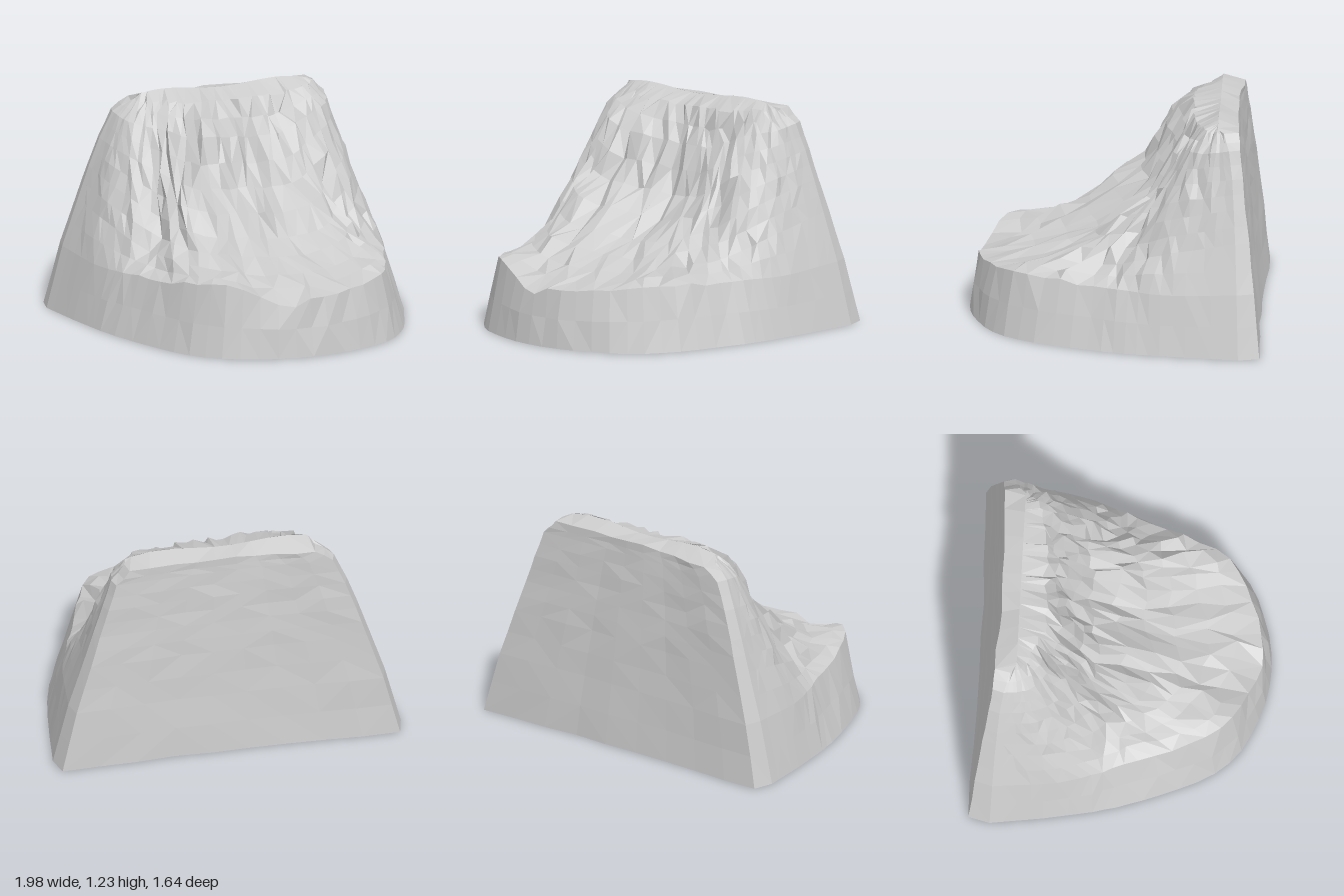
import * as THREE from 'three';

// Seeded hash, -1..1
const hash = (a, b = 0) => {
  const s = Math.sin(a * 127.1 + b * 311.7 + 4.3) * 43758.5453;
  return (s - Math.floor(s)) * 2 - 1;
};

// Soft bump of height 1 around a centre
const bell = (x, centre, width) => Math.exp(-(((x - centre) / width) ** 2));

// Profiles climbing from the ground to the crest, on the left half only:
// back corner, rear side, side, front side, front centre
const PROFILES = [
  [[.99, 0, -.7], [.9, .35, -.69], [.81, .62, -.68], [.75, .8, -.67], [.69, .96, -.66], [.62, 1.11, -.64], [.52, 1.18, -.61]],
  [[.925, 0, -.28], [.84, .33, -.28], [.76, .55, -.34], [.7, .74, -.4], [.64, .92, -.45], [.58, 1.08, -.5], [.48, 1.18, -.54]],
  [[.83, 0, .1], [.72, .34, .07], [.63, .45, -.02], [.54, .62, -.13], [.49, .84, -.26], [.44, 1.05, -.38], [.38, 1.18, -.48]],
  [[.55, 0, .63], [.49, .35, .57], [.42, .41, .35], [.35, .53, .1], [.31, .74, -.17], [.27, .99, -.31], [.23, 1.17, -.44]],
  [[0, 0, .82], [0, .32, .77], [0, .38, .46], [0, .51, .13], [0, .73, -.17], [0, .99, -.31], [0, 1.17, -.43]],
];
const LEVELS = 12;      // two steps per profile point; level 2 is the rim
const FRONT = 46;       // columns around the sides and front
const BACK = 10;        // columns across the flat back

// Point on a straight-sided profile at a given level
function profilePoint(profile, level) {
  const k = Math.min(profile.length - 2, Math.floor(level / 2));
  const a = new THREE.Vector3(...profile[k]), b = new THREE.Vector3(...profile[k + 1]);
  return a.lerp(b, level / 2 - k);
}

// One ring of the rock at a given level
function ring(level) {
  const half = PROFILES.map(p => profilePoint(p, level));
  const mirrored = half.slice(0, -1).reverse().map(v => new THREE.Vector3(-v.x, v.y, v.z));
  const curve = new THREE.CatmullRomCurve3([...half, ...mirrored]);
  const pts = [];
  const slope = level > 2 && level < LEVELS;

  // Sides and front, cut by gullies that run down the slope
  const depth = level === 0 ? .004 : level < 3 ? .012 : slope ? .036 : .03;
  for (let i = 0; i <= FRONT; i++) {
    const u = i / FRONT;
    const inner = i > 0 && i < FRONT;
    const slide = level > 2 && inner ? .35 * hash(i, level + 50) / FRONT : 0;
    const p = curve.getPoint(u + slide);
    const calm = Math.min(1, 1.5 * Math.max(0, Math.sin(Math.PI * u)) ** 1.5);
    const gully = hash(i + Math.round(Math.sin(level * .5)), 7) * .75 + hash(i, level) * .6;
    const out = new THREE.Vector3(p.x, 0, p.z + .6).normalize();
    let d = depth * calm * gully;
    // Buttress on the right of the cliff, shallow recess beside it
    if (level > 4 && level < LEVELS) d += .025 * bell(p.x, -.28, .2) - .03 * bell(p.x, .22, .2);
    p.addScaledVector(out, d);
    if (slope) p.y += d * .6;
    if (level === LEVELS) p.y += .015 * hash(i, 31);
    // Raised, jagged rim and a notch beside it
    if (level > 1 && level < 5 && p.z > 0) {
      p.y += (level === 2 ? .05 : .015) * bell(p.x, -.45, .18);
      if (level === 2) p.y += .012 * hash(i, 3) - .04 * bell(p.x, -.13, .09);
    }
    pts.push(p);
  }

  // Nearly flat, evenly leaning back with bevelled corners
  const a = pts[FRONT], b = pts[0];
  for (let i = 0; i < BACK; i++) {
    const t = i / (BACK - 1);
    const p = a.clone().lerp(b, .015 + .97 * t);
    const end = Math.abs(2 * t - 1);
    p.z = -.798 - .02 * end + .128 * p.y / 1.2 + .006 * hash(i, 90) + .004 * hash(i, level);
    if (level === LEVELS) p.y += .01 * (1 - end) + .008 * hash(i, 44);
    pts.push(p);
  }

  // The left shoulder is squarer than the right one
  for (const p of pts) if (p.x > .3) p.x += .05 * Math.min(1, p.y / 1.2) ** 8;
  return pts;
}

function createRock() {
  const rings = [];
  for (let l = 0; l <= LEVELS; l++) rings.push(ring(l));
  // Close the top onto a gently waving summit line
  rings.push(rings[LEVELS].map(p => {
    const x = p.x * .94;
    return new THREE.Vector3(x, 1.22 - .014 * Math.cos(8 * x) - .3 * x ** 4, -.575);
  }));

  const n = rings[0].length;
  const positions = [];
  const tri = (...v) => v.forEach(p => positions.push(p.x, p.y, p.z));
  for (let l = 0; l < rings.length - 1; l++) {
    for (let i = 0; i < n; i++) {
      const j = (i + 1) % n;
      const a = rings[l][i], b = rings[l][j], c = rings[l + 1][i], d = rings[l + 1][j];
      if (hash(i, l + 20) > 0) { tri(a, c, b); tri(b, c, d); }
      else { tri(a, d, b); tri(a, c, d); }
    }
  }
  const geometry = new THREE.BufferGeometry();
  geometry.setAttribute('position', new THREE.Float32BufferAttribute(positions, 3));
  geometry.computeVertexNormals();
  return geometry;
}

export function createModel() {
  const group = new THREE.Group();
  group.name = 'rockyCliff';
  // Hollow shell, open underneath
  const rock = new THREE.Mesh(createRock(), new THREE.MeshStandardMaterial({
    color: 0xcccccc, flatShading: true, side: THREE.DoubleSide,
  }));
  rock.name = 'rockShell';
  group.add(rock);
  return group;
}
